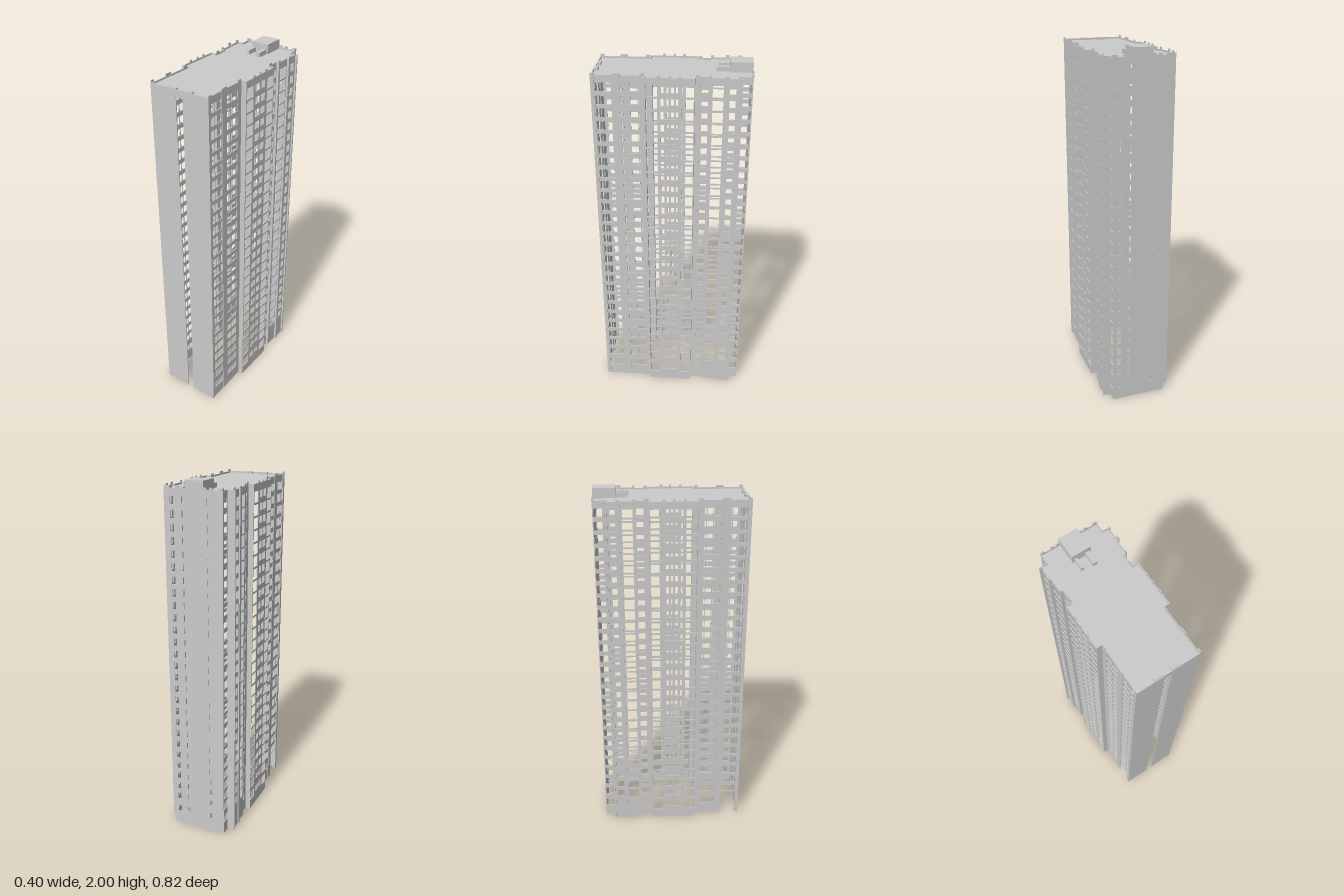
import * as THREE from 'three';
import { mergeGeometries } from 'three/addons/utils/BufferGeometryUtils.js';

const T = 0.005;          // wall thickness
const ROOF = 1.948, TOP = 1.957, TOOTH = 1.968;
const PITCH = 0.0687;     // storey height

// Side wall bays: z from, z to, distance from the centre line
const BAYS = [
  [0.39, 0.41, 0.175], [0.30, 0.39, 0.17], [0.26, 0.30, 0.173], [0.135, 0.26, 0.17],
  [-0.12, 0.135, 0.2], [-0.19, -0.12, 0.17], [-0.27, -0.19, 0.185], [-0.29, -0.27, 0.197],
  [-0.347, -0.29, 0.19], [-0.355, -0.347, 0.2], [-0.41, -0.355, 0.157],
];

// Window columns: z from, z to, height, has a ground floor window
const COLUMNS = [
  [0.362, 0.387, 0.046, true], [0.304, 0.358, 0.046, true],
  [0.214, 0.257, 0.042, true], [0.165, 0.209, 0.042, true],
  [0.07, 0.13, 0.058, true], [0.012, 0.053, 0.038, true], [-0.035, 0, 0.038, true],
  [-0.115, -0.055, 0.058, true], [-0.186, -0.145, 0.042, true], [-0.266, -0.205, 0.06, false],
  [-0.335, -0.294, 0.042, false], [-0.405, -0.36, 0.045, true],
];

// Raised parapet piers between the window columns
const PIERS = [
  [0.388, 0.41], [0.26, 0.30], [0.137, 0.16], [0.055, 0.07], [0, 0.012], [-0.053, -0.037],
  [-0.145, -0.122], [-0.205, -0.19], [-0.29, -0.27], [-0.353, -0.335], [-0.41, -0.4],
];

function rect(path, u0, u1, y0, y1) {
  path.moveTo(u0, y0);
  path.lineTo(u1, y0);
  path.lineTo(u1, y1);
  path.lineTo(u0, y1);
  path.closePath();
  return path;
}

// Upright panel with a grid of window openings
function panel(u0, u1, y0, y1, columns) {
  const shape = rect(new THREE.Shape(), u0, u1, y0, y1);
  for (const [a, b, h, ground] of columns) {
    for (let i = 0; i < 27; i++) {
      const top = i < 26 ? 1.918 - i * PITCH : 0.115;
      if (i === 26 && !ground) continue;
      if (top - h <= y0) continue;
      shape.holes.push(rect(new THREE.Path(), a, b, top - h, top));
    }
  }
  return new THREE.ExtrudeGeometry(shape, { depth: T, bevelEnabled: false });
}

function box(x0, x1, y0, y1, z0, z1) {
  return new THREE.BoxGeometry(x1 - x0, y1 - y0, z1 - z0).toNonIndexed()
    .translate((x0 + x1) / 2, (y0 + y1) / 2, (z0 + z1) / 2);
}

function sideWall(side) {
  const parts = [];
  BAYS.forEach(([z0, z1, x], i) => {
    // The right-hand front corner is open at street level
    const y0 = side < 0 && i === 1 ? 0.15 : 0;
    const cols = COLUMNS.filter(c => c[0] >= z0 && c[1] <= z1);
    const g = panel(z0, z1, y0, TOP, cols).rotateY(-Math.PI / 2);
    parts.push(g.translate(side > 0 ? x : T - x, 0, 0));
    // Return wall to the next bay
    if (i < BAYS.length - 1) {
      const n = BAYS[i + 1][2];
      const a = Math.min(x, n) - T, b = Math.max(x, n);
      const zIn = n > x ? z0 - T : z0;
      parts.push(box(side > 0 ? a : -b, side > 0 ? b : -a, y0, TOP, zIn, zIn + T));
    }
  });
  return mergeGeometries(parts);
}

function sideParapet(side) {
  return mergeGeometries(PIERS.map(([z0, z1]) => {
    const mid = (z0 + z1) / 2;
    const x = BAYS.find(b => mid >= b[0] && mid <= b[1])[2];
    return box(side > 0 ? x - T : -x, side > 0 ? x : T - x, TOP, TOOTH, z0, z1);
  }));
}

export function createModel() {
  const group = new THREE.Group();
  const material = new THREE.MeshStandardMaterial({
    color: 0xcccccc, flatShading: true, side: THREE.DoubleSide,
  });
  const add = (name, geometry) => {
    const mesh = new THREE.Mesh(geometry, material);
    mesh.name = name;
    group.add(mesh);
  };

  add('leftWall', sideWall(1));
  add('rightWall', sideWall(-1));
  add('leftParapet', sideParapet(1));
  add('rightParapet', sideParapet(-1));

  // Front wall with a tall central slot
  add('frontWall', mergeGeometries([
    box(-0.175, -0.02, 0, TOP, 0.41 - T, 0.41),
    box(0.02, 0.175, 0, TOP, 0.41 - T, 0.41),
    box(-0.02, 0.02, 1.918, TOP, 0.41 - T, 0.41),
  ]));

  // Back wall with narrow window columns beside the stair core
  add('backWall', panel(-0.157, 0.157, 0, TOP, [
    [-0.085, -0.07, 0.035, true], [0.056, 0.07, 0.035, true], [0.11, 0.135, 0.042, true],
  ]).translate(0, 0, -0.41));
  const backPiers = [];
  for (const [a, b] of [[0.135, 0.157], [0.085, 0.1], [0.053, 0.07]]) {
    backPiers.push(box(a, b, TOP, TOOTH, -0.413, -0.405), box(-b, -a, TOP, TOOTH, -0.413, -0.405));
  }
  add('backParapet', mergeGeometries(backPiers));

  // Roof slab following the stepped outline
  const half = BAYS.flatMap(([z0, z1, x]) => [[x - 0.002, z1], [x - 0.002, z0]]);
  const outline = [...half, ...half.map(([x, z]) => [-x, z]).reverse()]
    .map(([x, z]) => new THREE.Vector2(x, -z * 0.997));
  add('roof', new THREE.ExtrudeGeometry(new THREE.Shape(outline), { depth: T, bevelEnabled: false })
    .rotateX(-Math.PI / 2).translate(0, ROOF - T, 0));

  // Rooftop fittings
  add('liftHouse', box(-0.053, 0.05, ROOF, 2, -0.411, -0.292));
  add('roofDucts', mergeGeometries([
    box(-0.042, -0.027, ROOF, 1.972, -0.292, -0.232),
    box(0.017, 0.042, ROOF, 1.972, -0.292, -0.223),
  ]));
  add('frontRoofVents', mergeGeometries([
    box(-0.075, -0.022, ROOF, 1.96, 0.387, 0.404),
    box(0.02, 0.072, ROOF, 1.96, 0.387, 0.404),
  ]));
  return group;
}
